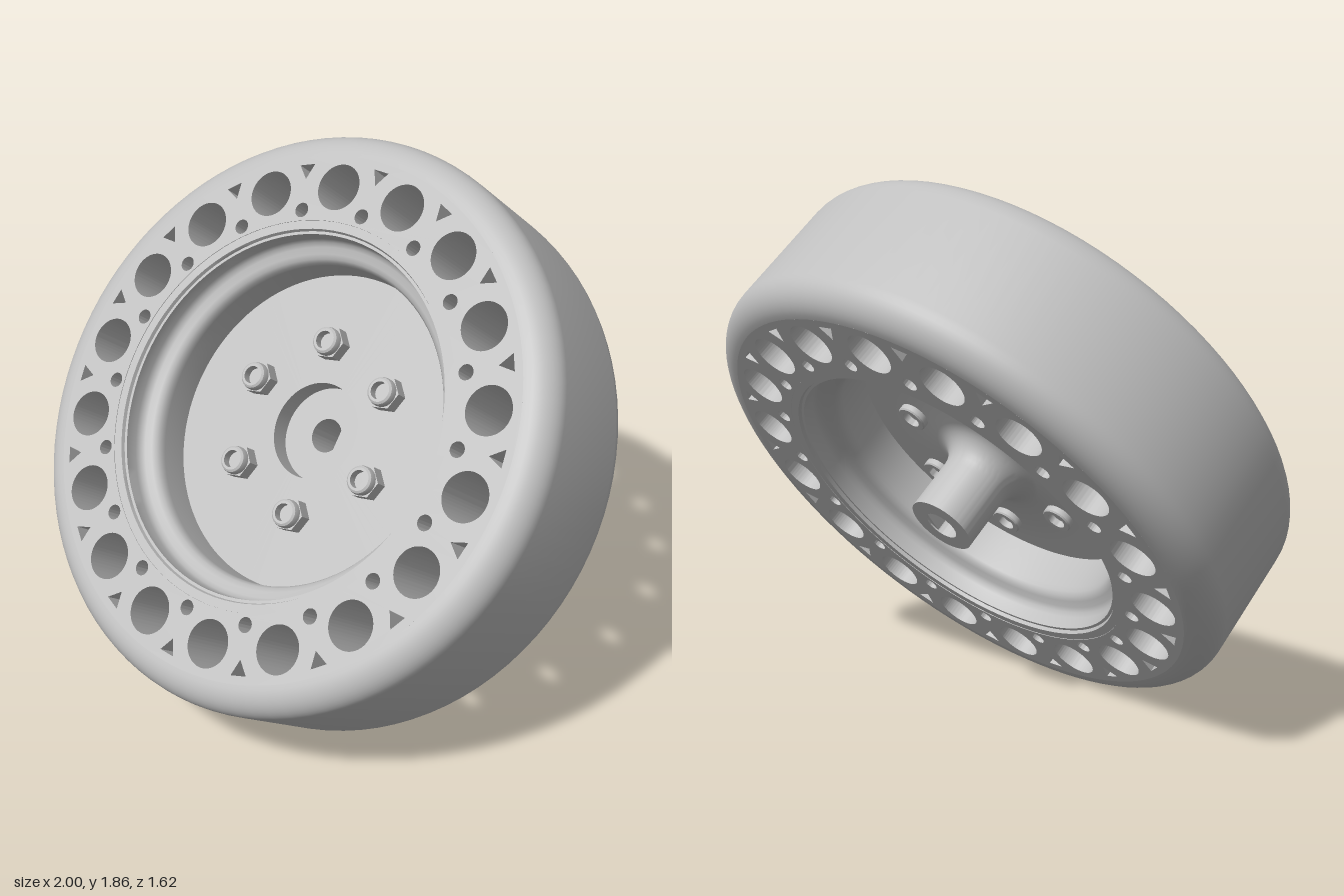
import * as THREE from 'three';
import { toCreasedNormals } from 'three/addons/utils/BufferGeometryUtils.js';

const SEG = 96;
const grey = new THREE.MeshStandardMaterial({ color: 0xbfbfbf });
grey.name = 'plain grey';

// Revolve [radius, axial] points about the z axis, keeping sharp edges.
function revolve(points, segments = SEG) {
  const g = new THREE.LatheGeometry(points.map(([r, a]) => new THREE.Vector2(r, a)), segments);
  g.rotateX(Math.PI / 2);
  return toCreasedNormals(g, 0.6);
}

function part(name, geometry, parent) {
  const mesh = new THREE.Mesh(geometry, grey);
  mesh.name = name;
  parent.add(mesh);
  return mesh;
}

function circlePath(x, y, r) {
  const p = new THREE.Path();
  p.absarc(x, y, r, 0, Math.PI * 2, true);
  return p;
}

// Quarter-round points about a centre
function arc(cr, ca, radius, from, to, n = 10) {
  return Array.from({ length: n + 1 }, (_, i) => {
    const t = from + (to - from) * i / n;
    return [cr + radius * Math.cos(t), ca + radius * Math.sin(t)];
  });
}

// Tyre side walls, pierced by large holes, small holes and triangles
function sideWalls() {
  const shape = new THREE.Shape();
  shape.absarc(0, 0, 0.9, 0, Math.PI * 2, false);
  shape.holes.push(circlePath(0, 0, 0.67));
  for (let i = 0; i < 18; i++) {
    const t = i * Math.PI / 9, m = t + Math.PI / 18;
    shape.holes.push(circlePath(0.79 * Math.cos(t), 0.79 * Math.sin(t), 0.081));
    shape.holes.push(circlePath(0.708 * Math.cos(m), 0.708 * Math.sin(m), 0.026));
    // Triangle with its point towards the axle
    const corners = [[0.82, 0], [0.872, -0.03], [0.872, 0.03]].map(([r, s]) =>
      new THREE.Vector2(r * Math.cos(m) - s * Math.sin(m), r * Math.sin(m) + s * Math.cos(m)));
    shape.holes.push(new THREE.Path([...corners, corners[0].clone()]));
  }
  const g = new THREE.ExtrudeGeometry(shape, { depth: 0.6, bevelEnabled: false, curveSegments: SEG });
  g.translate(0, 0, -0.3);
  return toCreasedNormals(g, 0.6);
}

export function createModel() {
  const model = new THREE.Group();
  model.name = 'tiltedWheel';
  const wheel = new THREE.Group();
  wheel.name = 'wheel';
  wheel.rotation.x = -THREE.MathUtils.degToRad(38);
  wheel.position.y = 0.9325;
  model.add(wheel);

  // Tyre
  part('tyreSideWalls', sideWalls(), wheel);
  part('tyreTread', revolve([
    ...arc(0.9, -0.2, 0.1, -Math.PI / 2, 0),
    ...arc(0.9, 0.2, 0.1, 0, Math.PI / 2),
  ]), wheel);

  // Rim, dish and hub in one turned section; the rim is the same on both sides
  const rim = [[0.67, 0.298], [0.64, 0.298], [0.636, 0.285], [0.626, 0.285], [0.626, 0.235],
    [0.62, 0.217], [0.607, 0.205], [0.585, 0.196], [0.57, 0.185], [0.562, 0.17], [0.56, 0.15]];
  const rimBack = rim.map(([r, a]) => [r, -a]).reverse();
  part('rimAndHub', revolve([
    ...rim, [0.56, 0.04], [0.17, 0.04], [0.17, -0.035], [0.06, -0.035], [0.06, -0.36],
    [0.118, -0.36], [0.118, -0.18],
    ...arc(0.208, -0.17, 0.09, Math.PI, Math.PI / 2, 8),
    [0.4, -0.08], [0.4, -0.02], [0.56, -0.02],
    ...rimBack, [0.67, 0.298],
  ]), wheel);

  // Flat side of the axle bore
  const flat = new THREE.Shape();
  flat.absarc(0, 0, 0.061, -0.75, 0.75, false);
  const flatGeo = new THREE.ExtrudeGeometry(flat, { depth: 0.315, bevelEnabled: false, curveSegments: 12 });
  flatGeo.translate(0, 0, -0.355);
  part('boreFlat', flatGeo, wheel);

  // Six lock nuts in front, round bolt heads behind
  const hexGeo = new THREE.CylinderGeometry(0.06, 0.06, 0.05, 6).toNonIndexed();
  hexGeo.rotateX(Math.PI / 2).translate(0, 0, 0.062);
  hexGeo.computeVertexNormals();
  const collarGeo = revolve([[0.05, 0.08], [0.05, 0.1], [0.047, 0.112], [0.04, 0.118],
    [0.031, 0.118], [0.031, 0.08]], 24);
  const headGeo = revolve([[0.033, -0.07], [0.033, -0.105], [0.05, -0.105], [0.054, -0.1], [0.054, -0.07]], 32);
  for (let i = 0; i < 6; i++) {
    const t = THREE.MathUtils.degToRad(43 + 60 * i);
    const bolt = new THREE.Group();
    bolt.name = 'bolt' + (i + 1);
    bolt.position.set(0.305 * Math.cos(t), 0.305 * Math.sin(t), 0);
    bolt.rotation.z = t;
    part('hexNut', hexGeo, bolt);
    part('nutCollar', collarGeo, bolt);
    part('boltHead', headGeo, bolt);
    wheel.add(bolt);
  }
  return model;
}
